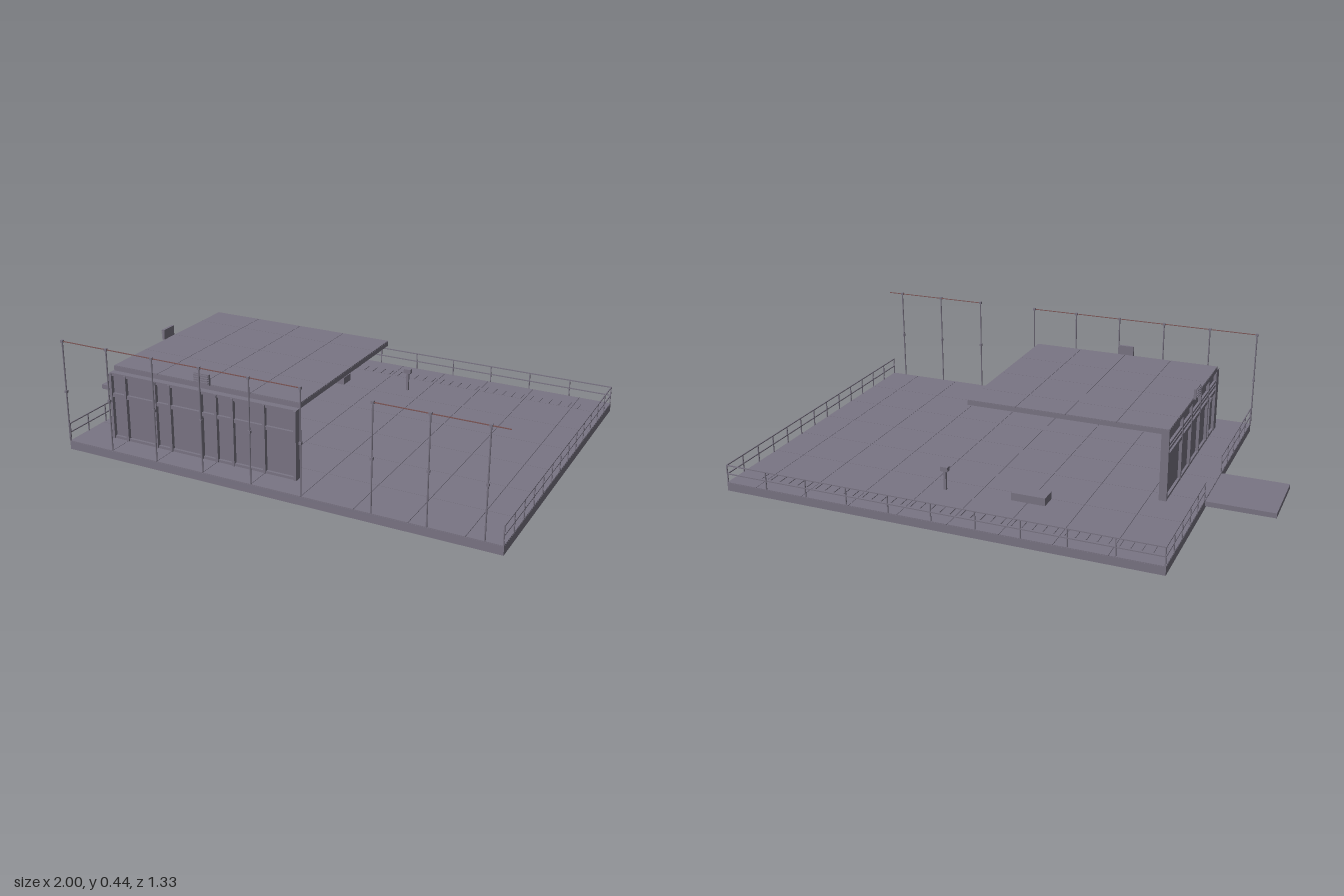
import * as THREE from 'three';

export function createModel() {
  const root = new THREE.Group();
  const mat = (name, color) => {
    const m = new THREE.MeshStandardMaterial({ color });
    m.name = name;
    return m;
  };
  const grey = mat('violet grey', 0x7a7584);
  const rust = mat('rust wire', 0x7a5555);

  const group = (name) => {
    const g = new THREE.Group();
    g.name = name;
    root.add(g);
    return g;
  };
  // Box given by its extents along each axis
  const box = (parent, name, x0, x1, y0, y1, z0, z1, material = grey) => {
    const mesh = new THREE.Mesh(new THREE.BoxGeometry(x1 - x0, y1 - y0, z1 - z0), material);
    mesh.position.set((x0 + x1) / 2, (y0 + y1) / 2, (z0 + z1) / 2);
    mesh.name = name;
    parent.add(mesh);
  };
  // Square tiles starting at the left front corner, trimmed at the far edges
  const tiles = (parent, name, x0, x1, y0, y1, z0, z1) => {
    const step = 0.2, gap = 0.0008;
    for (let x = x0; x < x1 - 0.01; x += step) {
      for (let z = z1; z > z0 + 0.01; z -= step) {
        box(parent, name, x + gap, Math.min(x + step, x1) - gap, y0, y1,
          Math.max(z - step, z0) + gap, z - gap);
      }
    }
  };

  // Platform and side landing
  const floor = 0.035;
  const platform = group('platform');
  box(platform, 'base', -0.735, 0.995, 0, 0.032, -0.665, 0.662);
  tiles(platform, 'floorTile', -0.735, 0.995, 0.031, floor, -0.665, 0.662);
  box(root, 'landing', -1, -0.735, 0.01, 0.03, -0.135, 0.13);

  // Cantilevered roof
  const roof = group('roof');
  box(roof, 'roofSlab', -0.605, 0.195, 0.3, 0.318, -0.2, 0.532);
  tiles(roof, 'roofTile', -0.605, 0.195, 0.317, 0.321, -0.2, 0.532);
  box(roof, 'ceilingLight', -0.49, -0.46, 0.293, 0.3, -0.05, 0.05);

  // Front wall: thin panel, mullions and transoms
  const front = group('frontWall');
  box(front, 'frontPanel', -0.6, 0.19, floor, 0.3, 0.543, 0.552);
  for (const x of [-0.6, -0.535, -0.4, -0.335, -0.2, -0.135, -0.065, 0.065, 0.19]) {
    box(front, 'frontMullion', x - 0.005, x + 0.005, floor, 0.3, 0.534, 0.567);
  }
  for (const [y0, y1] of [[floor, 0.045], [0.205, 0.22], [0.29, 0.302]]) {
    box(front, 'frontTransom', -0.605, 0.195, y0, y1, 0.536, 0.562);
  }

  // Left-hand long wall
  const side = group('sideWall');
  box(side, 'sidePanel', -0.593, -0.585, floor, 0.3, -0.2, 0.535);
  for (const z of [-0.195, 0, 0.135, 0.27, 0.4, 0.53]) {
    box(side, 'sideMullion', -0.605, -0.575, floor, 0.3, z - 0.005, z + 0.005);
  }
  box(side, 'doorJamb', -0.605, -0.575, floor, 0.205, 0.432, 0.438);
  for (const [y0, y1] of [[floor, 0.045], [0.205, 0.22], [0.234, 0.244], [0.251, 0.26]]) {
    box(side, 'sideTransom', -0.603, -0.575, y0, y1, -0.195, 0.53);
  }
  box(side, 'doorLamp', -0.612, -0.603, 0.203, 0.217, 0.42, 0.44);

  // Louvred vents on the roof edges
  const vents = group('roofVents');
  box(vents, 'frontVent', -0.24, -0.175, 0.318, 0.36, 0.53, 0.54);
  box(vents, 'sideVent', -0.616, -0.606, 0.318, 0.36, 0.133, 0.2);
  for (let i = 0; i < 4; i++) {
    const y = 0.325 + i * 0.009;
    box(vents, 'frontSlat', -0.238, -0.177, y, y + 0.004, 0.54, 0.545);
    box(vents, 'sideSlat', -0.621, -0.616, y, y + 0.004, 0.135, 0.198);
  }

  // Railings: posts and two rails along a straight run
  const railing = (name, ax, az, bx, bz, bays) => {
    const g = group(name), r = 0.002;
    for (let i = 0; i <= bays; i++) {
      const x = ax + (bx - ax) * i / bays, z = az + (bz - az) * i / bays;
      box(g, 'railPost', x - r, x + r, floor, 0.106, z - r, z + r);
    }
    for (const y of [0.07, 0.105]) {
      box(g, 'rail', ax - r, bx + r, y - r, y + r, az - r, bz + r);
    }
  };
  railing('backRailing', -0.732, -0.662, 0.992, -0.662, 10);
  railing('leftRailing', 0.992, -0.662, 0.992, 0.659, 13);
  railing('rightBackRailing', -0.732, -0.662, -0.732, -0.135, 5);
  railing('rightFrontRailing', -0.732, 0.13, -0.732, 0.659, 5);

  // Tall front poles carrying a wire
  const poles = group('frontPoles');
  const poleGeo = new THREE.CylinderGeometry(0.003, 0.003, 0.4, 8);
  for (const x of [-0.735, -0.535, -0.335, -0.135, 0.065, 0.265, 0.53, 0.73, 0.93]) {
    const pole = new THREE.Mesh(poleGeo, grey);
    pole.position.set(x, 0.235, 0.66);
    pole.name = 'pole';
    poles.add(pole);
    for (const y of [0.235, 0.435]) {
      box(poles, 'poleClamp', x - 0.005, x + 0.005, y - 0.005, y + 0.005, 0.655, 0.665);
    }
  }
  for (const [a, b] of [[-0.735, 0.265], [0.53, 0.995]]) {
    box(poles, 'wire', a, b, 0.4335, 0.4365, 0.6585, 0.6615, rust);
  }

  // Floor fittings behind the building
  box(root, 'floorBox', -0.205, -0.07, floor, 0.066, -0.403, -0.34);
  const stand = group('meterStand');
  box(stand, 'standPost', 0.19, 0.2, floor, 0.112, -0.415, -0.405);
  box(stand, 'standHead', 0.18, 0.21, 0.112, 0.13, -0.42, -0.4);
  const drain = group('drainBars');
  for (let i = 0; i < 40; i++) {
    const x = -0.67 + i * 0.04;
    box(drain, 'drainBar', x - 0.002, x + 0.002, floor, 0.038, -0.59, -0.54);
  }

  return root;
}
